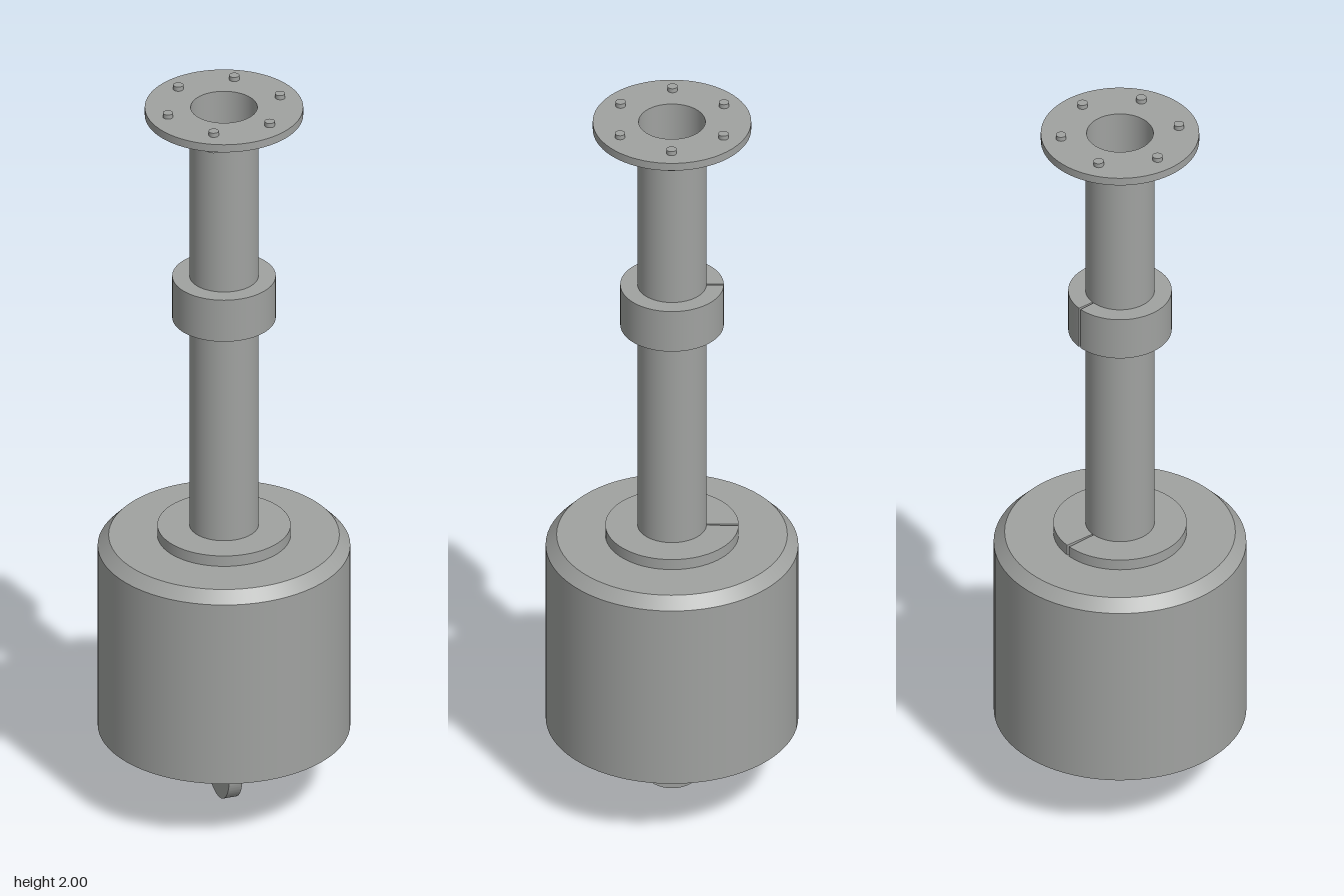
import * as THREE from 'three';
import { mergeGeometries, toCreasedNormals } from 'three/addons/utils/BufferGeometryUtils.js';

const SEGMENTS = 72;

// Revolve a profile with sharp corners; a slit may be left open at the back (-z)
function revolve(profile, slit = 0) {
  const bands = [];
  for (let i = 0; i < profile.length - 1; i++) {
    const pair = [profile[i], profile[i + 1]].map(([r, y]) => new THREE.Vector2(r, y));
    bands.push(new THREE.LatheGeometry(pair, SEGMENTS, Math.PI + slit, Math.PI * 2 - slit * 2));
  }
  return mergeGeometries(bands);
}

// Split ring with end faces closing both sides of its narrow slit
function splitRing(inner, outer, y0, y1) {
  const slit = 0.025;
  const parts = [revolve([[inner, y0], [outer, y0], [outer, y1], [inner, y1], [inner, y0]], slit)];
  for (const s of [1, -1]) {
    const phi = Math.PI + s * slit;
    const mid = (inner + outer) / 2;
    const cap = new THREE.PlaneGeometry(outer - inner, y1 - y0);
    cap.rotateY(s * (Math.PI / 2 + slit));
    cap.translate(Math.sin(phi) * mid, (y0 + y1) / 2, Math.cos(phi) * mid);
    parts.push(cap);
  }
  return mergeGeometries(parts);
}

export function createModel() {
  const model = new THREE.Group();
  const metal = new THREE.MeshStandardMaterial({ color: 0xa0a2a0 });
  metal.name = 'grey metal';

  const add = (name, geometry, parent = model) => {
    const mesh = new THREE.Mesh(geometry, metal);
    mesh.name = name;
    parent.add(mesh);
    return mesh;
  };

  // Heavy cylindrical body with a chamfered top edge
  add('body', revolve([[0, 0.202], [0.322, 0.202], [0.322, 0.72], [0.294, 0.75], [0, 0.75]]));

  // Hollow tube, open at the top
  add('tube', revolve([[0.088, 0.75], [0.088, 1.968], [0.085, 1.968], [0.085, 0.755], [0, 0.755]]));

  // Split rings around the tube
  add('baseRing', splitRing(0.088, 0.17, 0.75, 0.78));
  add('collar', splitRing(0.088, 0.132, 1.38, 1.5));

  // Top flange with central bore
  add('flange', revolve([[0.085, 1.966], [0.202, 1.966], [0.202, 1.988], [0.085, 1.988], [0.085, 1.966]]));

  // Six bolts: wide head below the flange, thin end above
  const bolts = new THREE.Group();
  bolts.name = 'bolts';
  model.add(bolts);
  const boltShape = revolve([[0, 1.946], [0.02, 1.946], [0.02, 1.966], [0.013, 1.966], [0.013, 2], [0, 2]]);
  for (let i = 0; i < 6; i++) {
    const a = (i * Math.PI) / 3;
    add('bolt', boltShape, bolts).position.set(Math.cos(a) * 0.152, 0, Math.sin(a) * 0.152);
  }

  // Lifting lug: rounded plate with a pin hole
  const w = 0.088;
  const outline = new THREE.Shape();
  outline.moveTo(w, 0.205);
  outline.lineTo(-w, 0.205);
  outline.lineTo(-w, w);
  outline.absarc(0, w, w, Math.PI, Math.PI * 2, false);
  outline.closePath();
  const hole = new THREE.Path();
  hole.absarc(0, 0.093, 0.03, 0, Math.PI * 2, true);
  outline.holes.push(hole);
  const lug = new THREE.ExtrudeGeometry(outline, { depth: 0.036, bevelEnabled: false, curveSegments: 32 });
  lug.translate(0, 0, -0.018);
  lug.rotateY(Math.PI / 2);
  add('lug', toCreasedNormals(lug, 0.5));

  return model;
}
